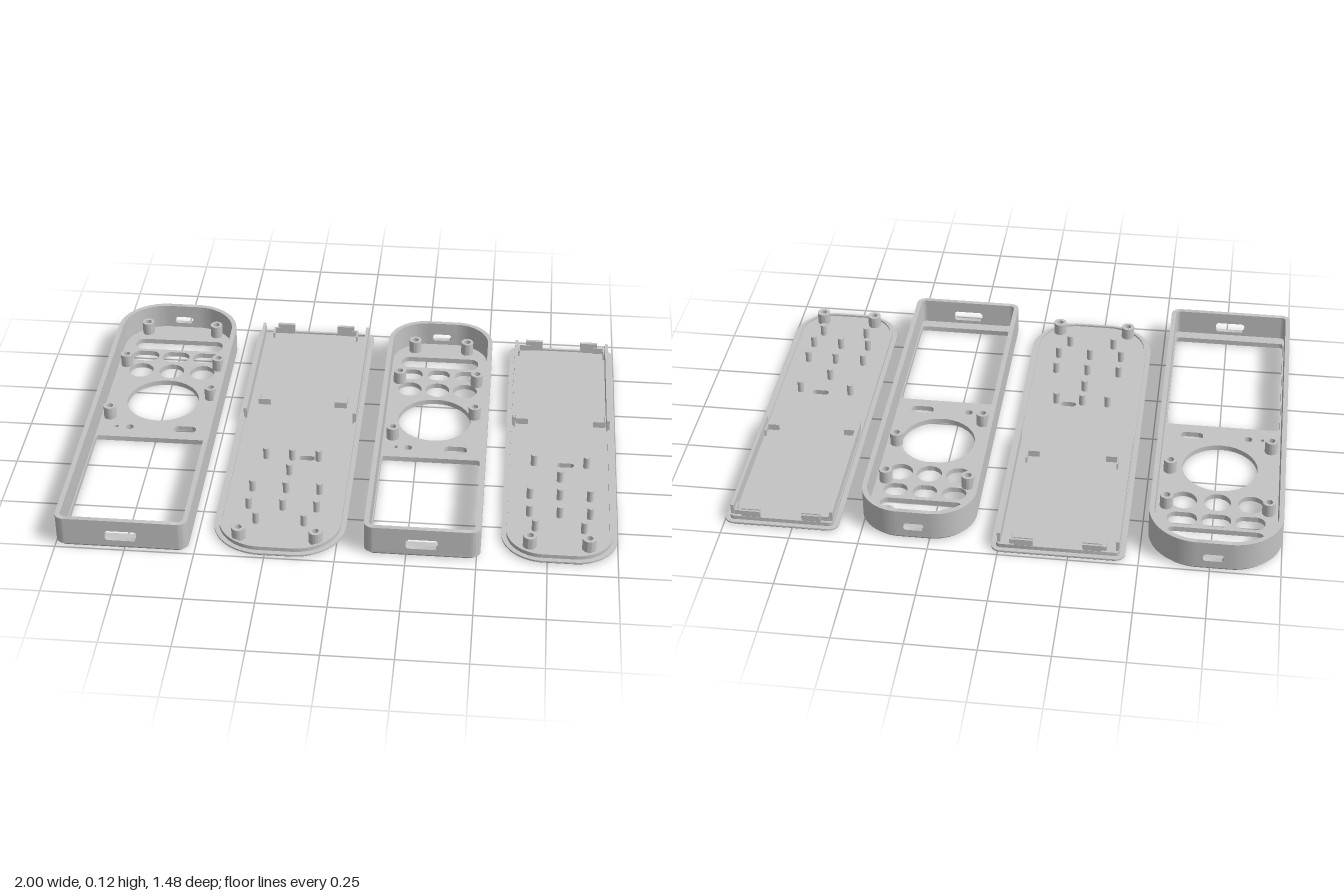
import * as THREE from 'three';
import { toCreasedNormals } from 'three/addons/utils/BufferGeometryUtils.js';

const grey = new THREE.MeshStandardMaterial({ color: 0xc4c4c4 });
grey.name = 'light grey plastic';

const FLOOR = 0.02, WALL = 0.018, HEIGHT = 0.118, POST_TOP = 0.066;
const PI = Math.PI;

function add(group, name, geometry, x = 0, y = 0, z = 0) {
  const mesh = new THREE.Mesh(geometry, grey);
  mesh.name = name;
  mesh.position.set(x, y, z);
  group.add(mesh);
}

function box(group, name, x0, x1, y0, y1, z0, z1) {
  add(group, name, new THREE.BoxGeometry(x1 - x0, y1 - y0, z1 - z0),
    (x0 + x1) / 2, (y0 + y1) / 2, (z0 + z1) / 2);
}

// Plan outlines are drawn in x and -z; radii differ at the back and the front.
function roundRect(Type, x0, x1, z0, z1, rBack, rFront = rBack) {
  const s = new Type(), a = -z1, b = -z0;
  s.moveTo(x0 + rFront, a);
  s.absarc(x1 - rFront, a + rFront, rFront, -PI / 2, 0);
  s.absarc(x1 - rBack, b - rBack, rBack, 0, PI / 2);
  s.absarc(x0 + rBack, b - rBack, rBack, PI / 2, PI);
  s.absarc(x0 + rFront, a + rFront, rFront, PI, PI * 1.5);
  s.closePath();
  return s;
}

function circle(Type, x, z, r) {
  const s = new Type();
  s.absarc(x, -z, r, 0, PI * 2);
  return s;
}

// Extrudes a plan outline upwards; taper pulls in the outer bottom edge only.
function slab(shape, depth, taper = 0, hw = 1, z0 = -1, z1 = 1) {
  const g = new THREE.ExtrudeGeometry(shape, {
    depth, steps: taper ? 2 : 1, bevelEnabled: false, curveSegments: 16,
  });
  g.rotateX(-PI / 2);
  if (taper) {
    const p = g.attributes.position, mid = (z0 + z1) / 2;
    const kx = 1 - taper / hw, kz = 1 - taper * 2 / (z1 - z0);
    const rim = shape.getPoints(16);
    for (let i = 0; i < p.count; i++) {
      const x = p.getX(i), z = p.getZ(i);
      if (p.getY(i) < 1e-5 && rim.some(q => Math.hypot(q.x - x, q.y + z) < 1e-4)) {
        p.setX(i, x * kx);
        p.setZ(i, mid + (z - mid) * kz);
      }
    }
  }
  return toCreasedNormals(g, 0.5);
}

function boss(group, name, x, z, y0, y1, r, hole) {
  const s = circle(THREE.Shape, x, z, r);
  s.holes.push(circle(THREE.Path, x, z, hole));
  add(group, name, slab(s, y1 - y0), 0, y0);
}

// Flat end wall with a connector slot through it.
function endPanel(group, name, half, slotHalf, slotY0, slotY1, z) {
  const s = roundRect(THREE.Shape, -half, half, -HEIGHT, -FLOOR, 0.0001);
  s.holes.push(roundRect(THREE.Path, -slotHalf, slotHalf, -slotY1, -slotY0, 0.012));
  const g = new THREE.ExtrudeGeometry(s, { depth: WALL, bevelEnabled: false, curveSegments: 8 });
  add(group, name, toCreasedNormals(g, 0.5), 0, 0, z);
}

// Open shell: floor with key openings, side walls, slotted ends, screw bosses.
function makeCase(c) {
  const g = new THREE.Group(), { hw, z0, z1, rBig, rSmall } = c;
  g.name = c.name;
  const floor = roundRect(THREE.Shape, -hw, hw, z0, z1, rBig, rSmall);
  const cut = (x0, x1, a, b, r) =>
    floor.holes.push(roundRect(THREE.Path, x0, x1, a, b, r));
  const { keyHalf, keyStep } = c;
  cut(-keyHalf, keyHalf, c.barZ, c.barZ + 0.075, 0.03);
  for (const i of [-1, 0, 1]) {
    const x = i * keyStep, w = keyHalf - keyStep;
    cut(x - w, x + w, c.pillZ, c.pillZ + 0.07, 0.033);
    floor.holes.push(circle(THREE.Path, x, c.roundZ, c.roundR));
  }
  floor.holes.push(circle(THREE.Path, 0, c.dialZ, 0.14));
  floor.holes.push(circle(THREE.Path, c.dots[0], c.dotZ, 0.008));
  floor.holes.push(circle(THREE.Path, c.dots[1], c.dotZ, 0.015));
  cut(keyHalf - 0.105, keyHalf - 0.019, c.dotZ - 0.02, c.dotZ + 0.02, 0.019);
  cut(-c.screen[0], c.screen[0], c.screen[1], c.screen[2], 0.012);
  add(g, 'caseFloor', slab(floor, FLOOR, 0.008, hw, z0, z1));

  // Side walls, one drawn and one mirrored, meeting the flat ends
  const endFront = hw - rSmall, endBack = hw - rBig, a = -z1, b = -z0;
  const w = new THREE.Shape();
  w.moveTo(endFront, a);
  w.absarc(endFront, a + rSmall, rSmall, -PI / 2, 0);
  w.absarc(endBack, b - rBig, rBig, 0, PI / 2);
  w.lineTo(endBack, b - WALL);
  w.absarc(endBack, b - rBig, rBig - WALL, PI / 2, 0, true);
  w.absarc(endFront, a + rSmall, rSmall - WALL, 0, -PI / 2, true);
  const pts = w.getPoints(16);
  for (const side of [1, -1]) {
    const s = new THREE.Shape(pts.map(p => new THREE.Vector2(p.x * side, p.y)));
    add(g, side > 0 ? 'leftWall' : 'rightWall', slab(s, HEIGHT - FLOOR), 0, FLOOR);
  }
  endPanel(g, 'frontWall', endFront, 0.057, 0.034, 0.074, z1 - WALL);
  endPanel(g, 'backWall', endBack, 0.037, 0.038, 0.067, z0);

  for (const [x, z] of c.bosses) boss(g, 'caseBoss', x, z, FLOOR, 0.07, 0.024, 0.013);
  g.position.x = c.x;
  return g;
}

// Cover: stepped plate, rim, side rails, clips, battery corners, pins, bosses.
function makeCover(c) {
  const g = new THREE.Group(), { hw, z0, z1, rBig, rSmall } = c;
  g.name = c.name;
  const outline = (Type, inset) => roundRect(Type, -hw + inset, hw - inset,
    z0 + inset, z1 - inset, Math.max(rSmall - inset, 0.004), rBig - inset);
  const drill = (shape) => {
    const [sx0, sx1, sz0, sz1] = c.slot;
    shape.holes.push(roundRect(THREE.Path, sx0, sx1, sz0, sz1, 0.012));
    for (const s of [-1, 1]) shape.holes.push(circle(THREE.Path, s * c.bossX, c.bossZ, 0.012));
    return shape;
  };
  add(g, 'coverFlange', slab(drill(outline(THREE.Shape, 0)), 0.012, 0.006, hw, z0, z1));
  add(g, 'coverPlate', slab(drill(outline(THREE.Shape, 0.018)), 0.008), 0, 0.012);
  const rim = outline(THREE.Shape, 0.018);
  rim.holes.push(outline(THREE.Path, 0.028));
  add(g, 'coverRim', slab(rim, 0.007), 0, 0.02);

  const [bx, bz0, bz1] = c.battery;
  for (const s of [-1, 1]) {
    const rx = s * (hw - 0.027);
    box(g, 'sideRail', rx - 0.006, rx + 0.006, FLOOR, POST_TOP, z0 + 0.03, c.railEnd);
    // Snap clip with an outward hook
    const tx = s * c.clipX;
    box(g, 'clip', tx - 0.034, tx + 0.034, FLOOR, 0.062, z0 + 0.019, z0 + 0.03);
    box(g, 'clipHook', tx - 0.034, tx + 0.034, 0.046, 0.058, z0 + 0.011, z0 + 0.02);
    // Corner ridges of the battery bay
    for (const [z, d] of [[bz0, 1], [bz1, -1]]) {
      const ex = s * bx, ix = s * (bx - 0.045), ez = z + d * 0.045;
      box(g, 'batteryCorner', Math.min(ex, ix), Math.max(ex, ix), FLOOR, 0.045, z - 0.003, z + 0.003);
      box(g, 'batteryCorner', ex - 0.003, ex + 0.003, FLOOR, 0.045, Math.min(z, ez), Math.max(z, ez));
    }
    boss(g, 'coverBoss', s * c.bossX, c.bossZ, FLOOR, POST_TOP, 0.025, 0.012);
  }
  const pin = new THREE.CylinderGeometry(0.012, 0.012, POST_TOP - FLOOR, 20);
  for (const [x, z] of c.pins) add(g, 'pin', pin, x, (POST_TOP + FLOOR) / 2, z);
  g.position.x = c.x;
  return g;
}

// Three-column pin rows shared by both covers
const grid = (xs, zs) => zs.flatMap(z => xs.map(x => [x, z]));

export function createModel() {
  const model = new THREE.Group();
  model.name = 'remoteControlCasings';
  const large = { hw: 0.2385, z0: -0.74, z1: 0.74, rBig: 0.18, rSmall: 0.035 };
  const small = { hw: 0.2075, z0: -0.698, z1: 0.695, rBig: 0.15, rSmall: 0.035 };

  model.add(makeCase({
    ...large, name: 'largeCase', x: -0.7615, keyHalf: 0.177, keyStep: 0.123,
    barZ: -0.616, pillZ: -0.525, roundZ: -0.384, roundR: 0.049, dialZ: -0.176,
    dots: [-0.151, -0.099], dotZ: 0.015, screen: [0.216, 0.082, 0.68],
    bosses: [[-0.141, -0.67], [0.141, -0.67], [-0.186, -0.422], [0.184, -0.422],
      [0.184, -0.21], [-0.186, -0.05]],
  }));
  model.add(makeCover({
    ...large, name: 'largeCover', x: -0.2125, railEnd: -0.082, clipX: 0.122,
    battery: [0.17, -0.712, -0.186], slot: [0.024, 0.083, 0.148, 0.175],
    bossX: 0.138, bossZ: 0.663,
    pins: [[-0.098, 0.17], [0, 0.17], [0.1, 0.17], [0, 0.265], [-0.087, 0.57], [0.087, 0.57],
      ...grid([-0.124, 0, 0.124], [0.377, 0.484])],
  }));
  model.add(makeCase({
    ...small, name: 'smallCase', x: 0.306, keyHalf: 0.153, keyStep: 0.109,
    barZ: -0.575, pillZ: -0.483, roundZ: -0.342, roundR: 0.047, dialZ: -0.134,
    dots: [-0.137, -0.089], dotZ: 0.059, screen: [0.185, 0.122, 0.635],
    bosses: [[-0.105, -0.628], [0.105, -0.628], [-0.153, -0.396], [0.153, -0.396],
      [0.153, -0.166], [-0.153, -0.005]],
  }));
  model.add(makeCover({
    ...small, name: 'smallCover', x: 0.7915, railEnd: -0.115, clipX: 0.11,
    battery: [0.17, -0.667, -0.14], slot: [-0.012, 0.052, 0.11, 0.136],
    bossX: 0.105, bossZ: 0.62,
    pins: [[-0.098, 0.126], [0.098, 0.126], [0, 0.222], [-0.088, 0.527], [0.088, 0.527],
      ...grid([-0.11, 0, 0.11], [0.334, 0.441])],
  }));
  return model;
}
